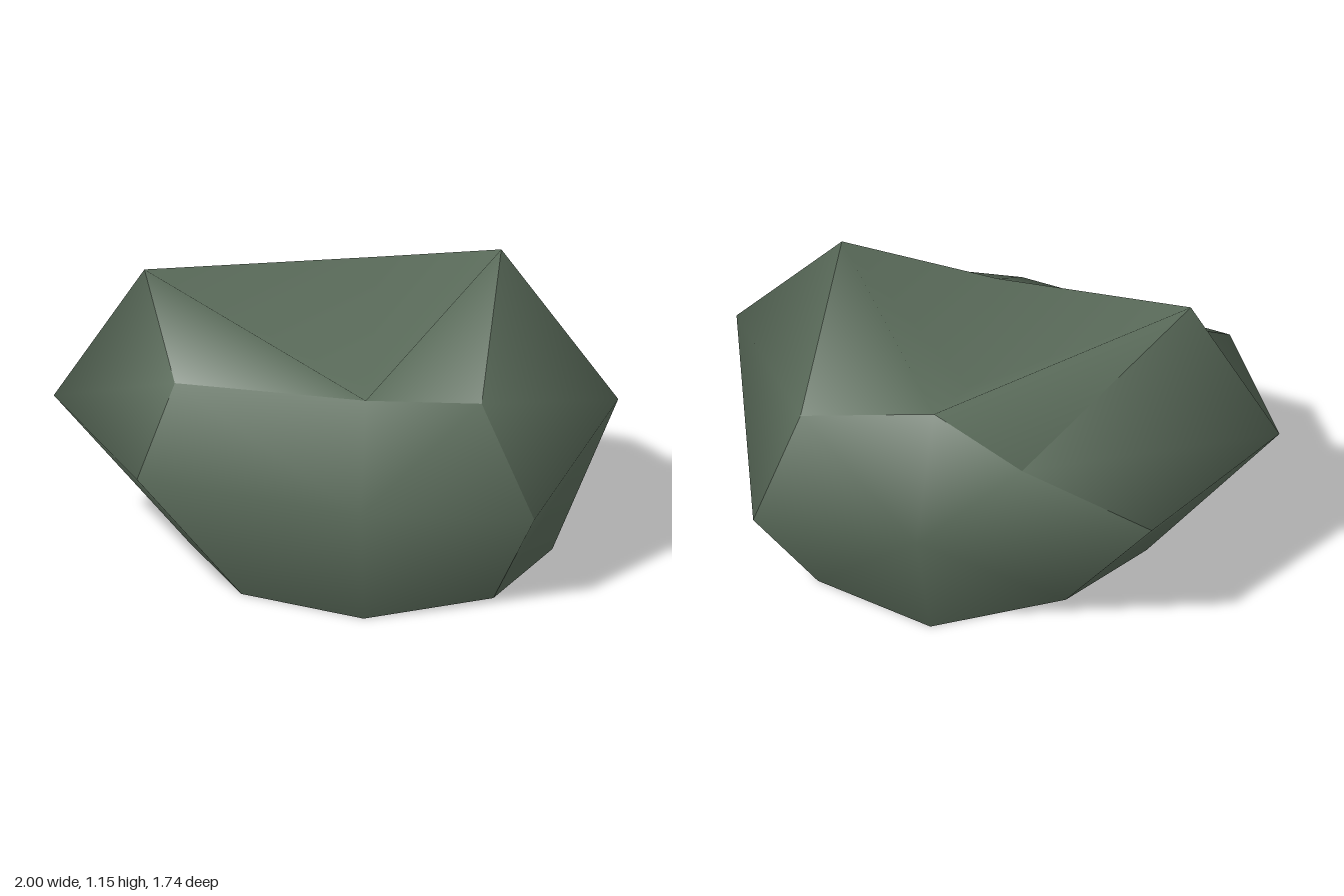
import * as THREE from 'three';

// Three rings of eight corners, starting at +x and turning towards +z
const foot = [
  [0.76, 0, 0], [0.57, 0, 0.44], [0.12, 0, 0.64], [-0.32, 0, 0.44],
  [-0.52, 0, 0], [-0.31, 0, -0.37], [0.12, 0, -0.64], [0.57, 0, -0.44],
];
const waist = [
  [1, 0.66, 0.18], [0.72, 0.36, 0.57], [0.12, 0.5, 0.87], [-0.68, 0.52, 0.64],
  [-1, 0.56, 0], [-0.68, 0.52, -0.64], [0.12, 0.5, -0.87], [0.76, 0.36, -0.64],
];
const rim = [
  [0.58, 1.15, 0], [0.53, 0.76, 0.47], [0.12, 0.76, 0.46], [-0.56, 0.75, 0.31],
  [-0.68, 1.05, 0], [-0.18, 0.61, -0.5], [0.12, 0.86, -0.58], [0.62, 0.73, -0.5],
];
const hollow = [0.12, 0.6, 0];

// One patch of the surface: smooth inside, sharp along its border
function patch(name, points, faces, material) {
  const geometry = new THREE.BufferGeometry();
  geometry.setAttribute('position', new THREE.Float32BufferAttribute(points.flat(), 3));
  geometry.setIndex(faces.flat());
  geometry.computeVertexNormals();
  const mesh = new THREE.Mesh(geometry, material);
  mesh.name = name;
  return mesh;
}

export function createModel() {
  const stone = new THREE.MeshStandardMaterial({ color: 0x5a6b5a });
  stone.name = 'mossy stone';
  const rock = new THREE.Group();
  rock.name = 'rock';

  // Four sides, each a fan from its middle waist corner to the eight around it
  const around = [0, 1, 2, 5, 8, 7, 6, 3];
  const fan = around.map((p, i) => [4, around[(i + 1) % 8], p]);
  ['frontSide', 'rightSide', 'backSide', 'leftSide'].forEach((name, side) => {
    const start = 1 + side * 2;
    const points = [];
    for (const ring of [foot, waist, rim]) {
      for (let i = 0; i < 3; i++) points.push(ring[(start + i) % 8]);
    }
    rock.add(patch(name, points, fan, stone));
  });

  // Top: sloping corners around a hollow between the two peaks
  const top = [];
  for (let k = 0; k < 8; k += 2) {
    const next = (k + 2) % 8;
    top.push([next, k + 1, k], [next, k, 8]);
  }
  rock.add(patch('top', [...rim, hollow], top, stone));

  // Flat underside
  const base = [];
  for (let k = 1; k < 7; k++) base.push([0, k, k + 1]);
  rock.add(patch('underside', foot, base, stone));

  return rock;
}
